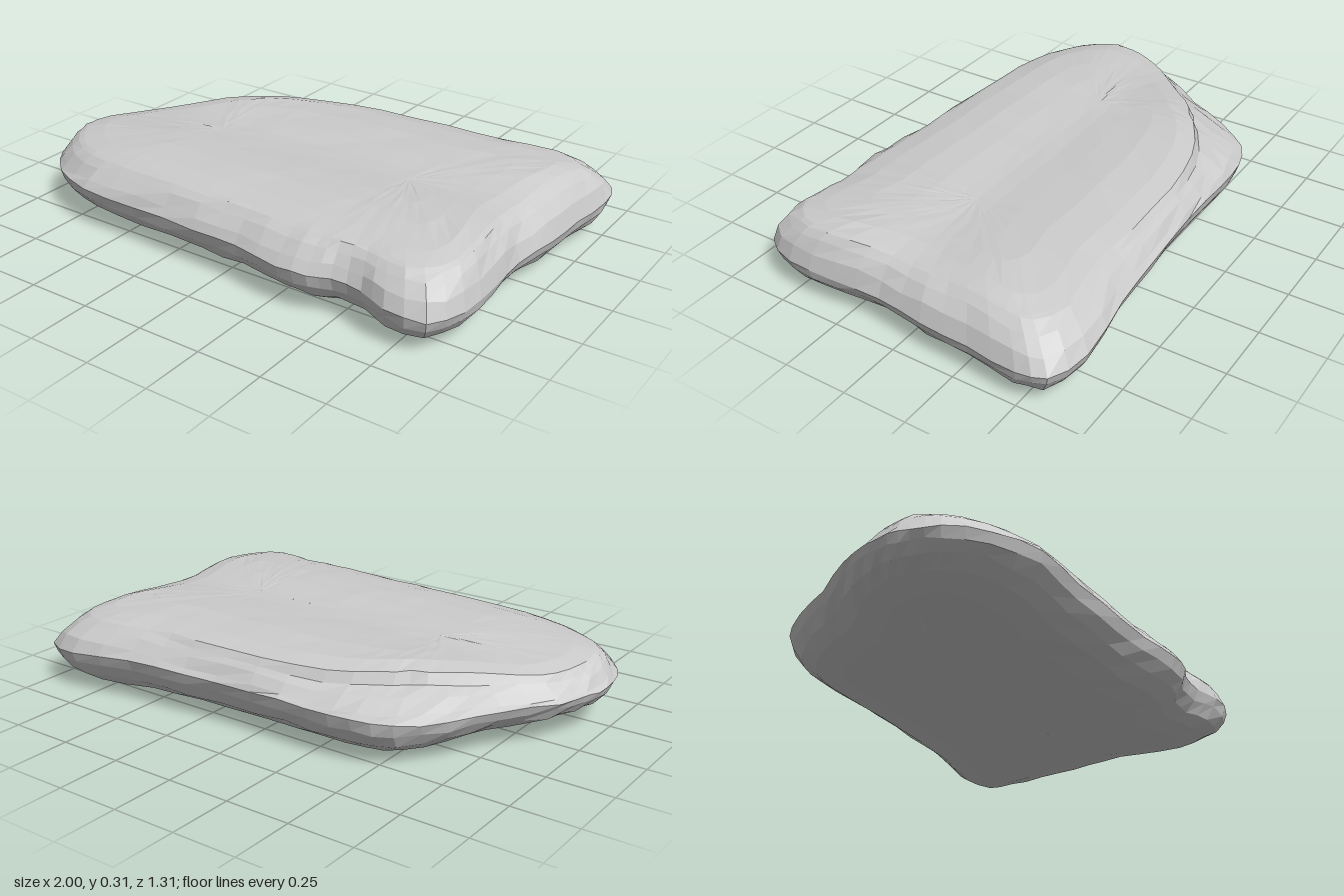
import * as THREE from 'three';

// Rim seen from above: x, z, width of the upper bevel, depth of the broken shelf
const RIM = [
  [-1, .2, .06, .03], [-.99, .28, .06, 0], [-.96, .38, .08, 0], [-.85, .5, .09, 0],
  [-.65, .58, .1, 0], [-.4, .585, .08, 0], [-.1, .6, .08, 0], [.1, .61, .09, 0],
  [.3, .645, .11, 0], [.42, .64, .1, 0], [.5, .61, .07, 0], [.62, .61, .07, 0],
  [.73, .65, .1, 0], [.88, .635, .1, 0], [.945, .5, .08, 0], [.95, .3, .08, 0],
  [.94, .1, .08, 0], [.97, -.1, .1, 0], [.98, -.3, .12, 0], [1, -.5, .14, 0],
  [.98, -.61, .15, 0], [.82, -.66, .12, 0], [.55, -.63, .1, 0], [.3, -.61, .07, .05],
  [0, -.59, .06, .05], [-.25, -.595, .08, .11], [-.43, -.585, .08, .18],
  [-.57, -.53, .08, .2], [-.7, -.38, .08, .14], [-.8, -.2, .07, .09],
  [-.93, -.02, .06, .07], [-.98, .1, .06, .06],
];
const { lerp, clamp, smoothstep } = THREE.MathUtils;
const hash = (i, j) => {
  const s = Math.sin(i * 127.1 + j * 311.7) * 43758.5453;
  return s - Math.floor(s) - .5;
};

// Gently rippled upper face, lower towards the narrow end
const topY = (x, z) => .3 + .009 * Math.cos(z * 11.5 - 3.1) + .006 * smoothstep(x, -.6, .3)
  - .03 * (1 - smoothstep(x, -1, -.4)) - .012 * smoothstep(x, .6, 1);

// Nearly flat underside that lifts at the narrow end
const bottomY = (x, z) => .017 + .055 * (1 - smoothstep(x, -1, -.45))
  - .015 * Math.exp(-((x - .82) ** 2 + z * z) * 40);

// Stacked rings: underside, rounded edge, shelf step, upper face
function stoneGeometry() {
  const loop = (k, l) => new THREE.CatmullRomCurve3(
    RIM.map(p => new THREE.Vector3(p[k], 0, p[l])), true, 'centripetal');
  const shape = loop(0, 1);
  const n = RIM.length * 2;
  const pos = [], index = [];
  const columns = [];
  for (let i = 0; i < n; i++) {
    const p = shape.getPoint(i / n);
    const a = RIM[i >> 1], b = RIM[((i + 1) >> 1) % RIM.length];
    const bevel = (a[2] + b[2]) / 2, shelf = (a[3] + b[3]) / 2;
    const edge = Math.max(bevel, shelf), k = clamp(shelf / .1, 0, 1);
    const sx = clamp(p.x, -.4, .45), sz = .03;
    const len = Math.hypot(sx - p.x, sz - p.z);
    const mid = .172 - .03 * smoothstep(p.x, .5, 1) + .015 * smoothstep(-p.z, .4, .65);
    const column = [];
    const add = (inset, height, rough = 0) => {
      const d = inset + rough * .5 * hash(i, column.length + 7);
      const t = Math.min(Math.max(d, 0) / len, 1);
      const x = lerp(p.x, sx, t), z = lerp(p.z, sz, t);
      column.push([x, height(x, z) + rough * hash(i, column.length), z]);
    };
    const low = f => (x, z) => lerp(bottomY(x, z), mid, f);
    const high = (y, shelfY) => (x, z) => lerp(y, shelfY, k) * topY(x, z) / .305;
    add(len, bottomY);
    add(len * .65, bottomY, .003);
    add(.22, bottomY, .004);
    add(.11, low(.13), .008);
    add(.05, low(.38), .014);
    add(.015, low(.7), .014);
    add(0, low(1), .008);
    add(edge * .25, high(.218, .2), .014);
    add(edge * .65, high(.262, .232), .01);
    add(edge, high(.287, .25), .006);
    add(edge + .02, high(.294, .292), .003);
    add(edge + .1, topY, .002);
    const rest = len - edge - .1;
    for (const f of [.3, .6, .85, 1]) add(edge + .1 + rest * f, topY, f < 1 ? .003 : 0);
    columns.push(column);
  }
  const rings = columns[0].length;
  for (const column of columns) for (const v of column) pos.push(...v);
  for (let i = 0; i < n; i++) {
    for (let r = 0; r < rings - 1; r++) {
      const a = i * rings + r, b = ((i + 1) % n) * rings + r;
      index.push(a, b, b + 1, a, b + 1, a + 1);
    }
  }
  const geometry = new THREE.BufferGeometry();
  geometry.setAttribute('position', new THREE.Float32BufferAttribute(pos, 3));
  geometry.setIndex(index);
  geometry.computeVertexNormals();
  return geometry;
}

export function createModel() {
  const group = new THREE.Group();
  group.name = 'flatStone';
  const material = new THREE.MeshStandardMaterial({ color: 0xcccccc, flatShading: true });
  const slab = new THREE.Mesh(stoneGeometry(), material);
  slab.name = 'stoneSlab';
  group.add(slab);
  return group;
}
